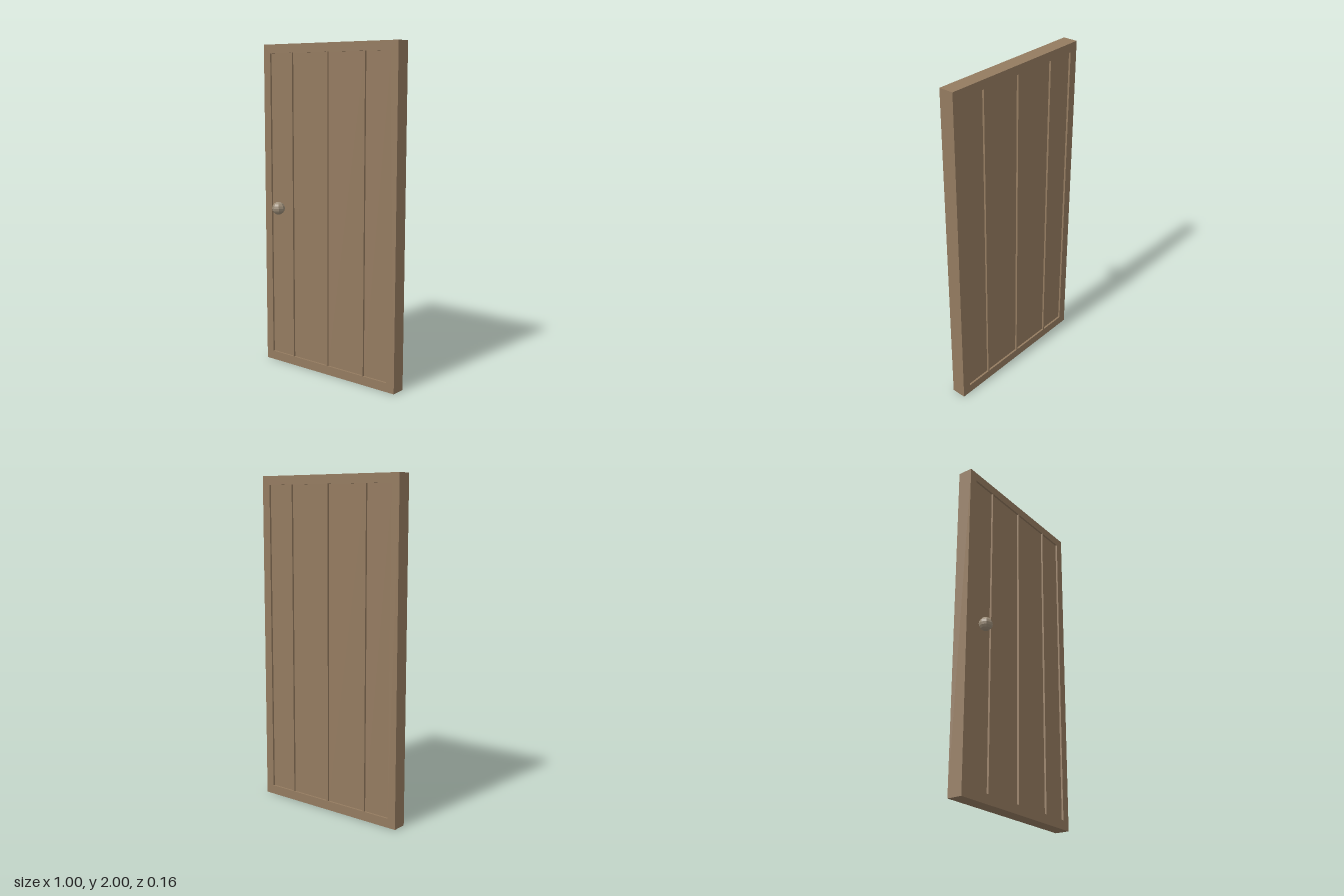
import * as THREE from 'three';

export function createModel() {
  const door = new THREE.Group();
  door.name = 'door';
  const wood = new THREE.MeshStandardMaterial({ color: 0x947b60 });
  wood.name = 'brown wood';
  const metal = new THREE.MeshStandardMaterial({ color: 0x9c8d78 });
  metal.name = 'dull brass';

  const add = (name, geometry, material, x, y, z) => {
    const mesh = new THREE.Mesh(geometry, material);
    mesh.name = name;
    mesh.position.set(x, y, z);
    door.add(mesh);
  };

  const rect = (PathType, x0, y0, x1, y1) => new PathType([
    new THREE.Vector2(x0, y0), new THREE.Vector2(x1, y0),
    new THREE.Vector2(x1, y1), new THREE.Vector2(x0, y1),
  ]);

  // Frame with dividing strips, open where the panels sit
  const back = -0.08, thickness = 0.09, recess = 0.012;
  const bottom = 0.055, top = 1.947;
  const panels = [[-0.448, -0.279], [-0.27, -0.006], [0.005, 0.267], [0.276, 0.446]];
  const outline = rect(THREE.Shape, -0.5, 0, 0.5, 2);
  for (const [x0, x1] of panels) outline.holes.push(rect(THREE.Path, x0, bottom, x1, top));
  add('frame', new THREE.ExtrudeGeometry(outline, { depth: thickness, bevelEnabled: false }), wood, 0, 0, back);

  // Recessed panels, seen from both sides
  for (const [x0, x1] of panels) {
    add('panel', new THREE.BoxGeometry(x1 - x0, top - bottom, thickness - 2 * recess), wood,
      (x0 + x1) / 2, (bottom + top) / 2, back + thickness / 2);
  }

  // Faceted round knob on the front
  const knob = new THREE.SphereGeometry(0.04, 8, 8).toNonIndexed();
  knob.computeVertexNormals();
  add('knob', knob, metal, -0.365, 1.002, 0.038);

  return door;
}
